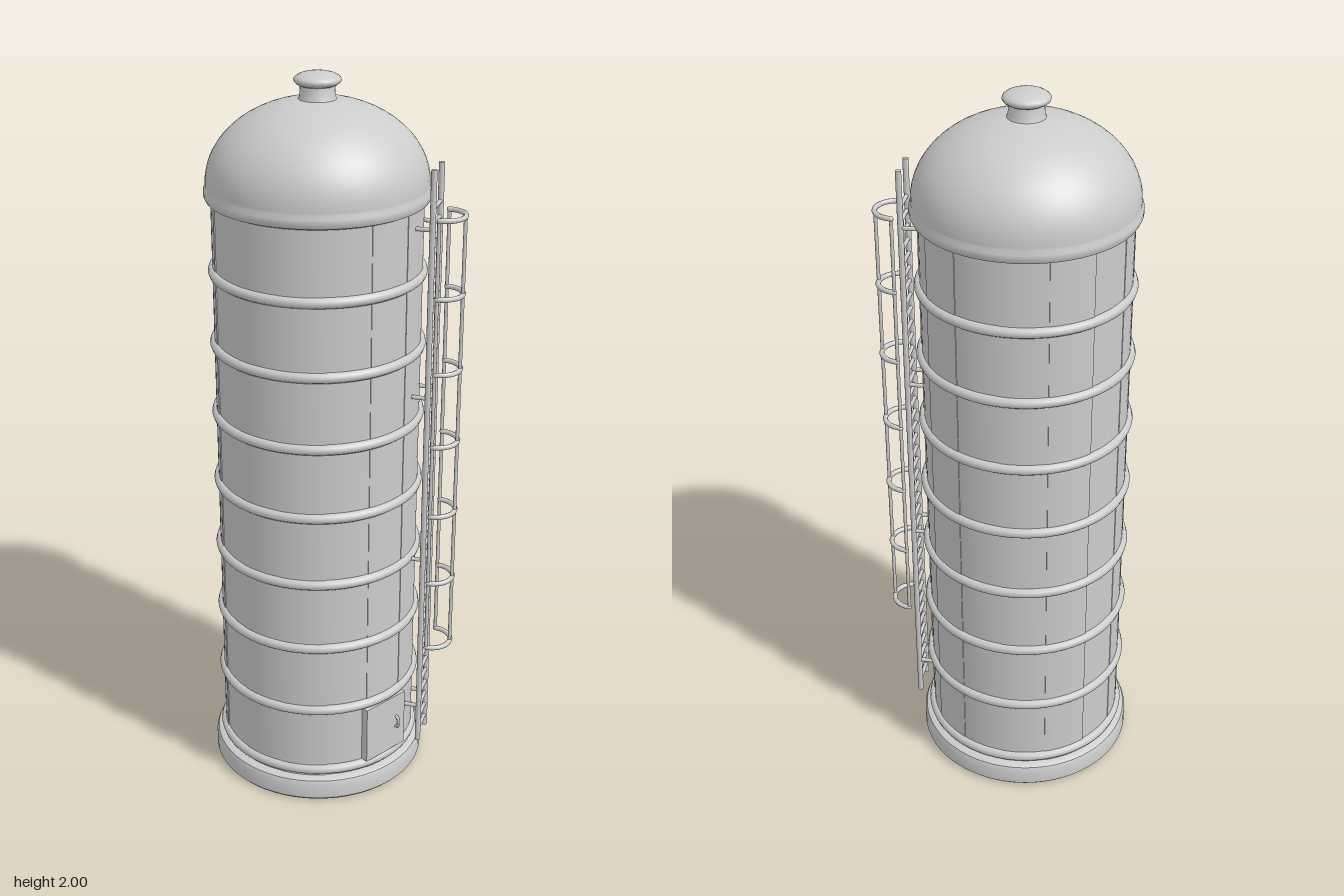
import * as THREE from 'three';
import { toCreasedNormals } from 'three/addons/utils/BufferGeometryUtils.js';

export function createModel() {
  const model = new THREE.Group();
  model.name = 'silo';
  const grey = new THREE.MeshStandardMaterial({ color: 0xcccccc });
  grey.name = 'lightGrey';

  const tower = new THREE.Group();
  tower.name = 'tower';
  tower.position.z = -0.025;
  model.add(tower);

  const add = (parent, name, geometry, x = 0, y = 0, z = 0) => {
    const mesh = new THREE.Mesh(geometry, grey);
    mesh.name = name;
    mesh.position.set(x, y, z);
    parent.add(mesh);
    return mesh;
  };
  const lathe = (points, segments = 64) => toCreasedNormals(
    new THREE.LatheGeometry(points.map(([r, y]) => new THREE.Vector2(r, y)), segments), 0.6);

  // Foundation slab
  add(tower, 'base', lathe([[0, 0], [0.296, 0], [0.303, 0.008], [0.303, 0.05], [0.298, 0.062], [0.288, 0.067], [0, 0.067]]));

  // Wall of vertical staves, each stepping slightly in or out
  const staves = 14, steps = 6, outline = [];
  for (let i = 0; i < staves; i++) {
    const radius = 0.273 + 0.0015 * (i % 3);
    for (let j = 0; j <= steps; j++) {
      const a = ((i + (j / steps) * 0.998) / staves) * Math.PI * 2;
      outline.push(new THREE.Vector2(Math.cos(a) * radius, Math.sin(a) * radius));
    }
  }
  const wall = new THREE.ExtrudeGeometry(new THREE.Shape(outline), { depth: 1.64, bevelEnabled: false });
  wall.rotateX(-Math.PI / 2);
  add(tower, 'wall', toCreasedNormals(wall, 0.4), 0, 0.06, 0);

  // Hoops around the wall
  const band = new THREE.TorusGeometry(0.273, 0.015, 10, 64).rotateX(Math.PI / 2);
  for (let i = 0; i < 8; i++) add(tower, 'band', band, 0, 0.087 + i * 0.2, 0);

  // Domed roof with a rolled rim
  const domeProfile = [[0, 1.675], [0.278, 1.675], [0.289, 1.68], [0.294, 1.69], [0.294, 1.703], [0.289, 1.713]];
  for (let i = 0; i <= 16; i++) {
    const a = (i / 16) * Math.PI / 2;
    domeProfile.push([0.289 * Math.cos(a), 1.72 + 0.215 * Math.sin(a)]);
  }
  add(tower, 'domeRoof', lathe(domeProfile));

  // Finial
  add(tower, 'finialNeck', lathe([[0.056, 1.92], [0.046, 1.937], [0.044, 1.975]], 24));
  const cap = new THREE.SphereGeometry(0.061, 16, 12).scale(1, 0.34, 1);
  add(tower, 'finialCap', cap, 0, 1.979, 0);

  // Door and handle
  add(tower, 'door', new THREE.BoxGeometry(0.148, 0.172, 0.03), 0, 0.187, 0.269);
  const handle = new THREE.TubeGeometry(new THREE.CatmullRomCurve3([
    new THREE.Vector3(0, -0.017, 0), new THREE.Vector3(0, -0.012, 0.01),
    new THREE.Vector3(0, 0.012, 0.01), new THREE.Vector3(0, 0.017, 0)]), 12, 0.0045, 8);
  add(tower, 'doorHandle', handle, 0.04, 0.187, 0.283);

  // Ladder: local z points away from the wall, local x runs along it
  const ladder = new THREE.Group();
  ladder.name = 'ladder';
  ladder.rotation.y = Math.PI / 6;
  tower.add(ladder);

  const railX = 0.04, railZ = 0.315;
  const rail = new THREE.CylinderGeometry(0.008, 0.008, 1.695, 10);
  const bracket = new THREE.CylinderGeometry(0.006, 0.006, 0.055, 8).rotateX(Math.PI / 2);
  for (const side of [-1, 1]) {
    add(ladder, 'ladderRail', rail, side * railX, 0.9375, railZ);
    for (const y of [0.205, 0.685, 1.17, 1.63]) {
      add(ladder, 'wallBracket', bracket, side * railX, y, railZ - 0.0275);
    }
  }
  const rung = new THREE.CylinderGeometry(0.0055, 0.0055, railX * 2, 8).rotateZ(Math.PI / 2);
  for (let i = 0; i < 40; i++) add(ladder, 'rung', rung, 0, 0.125 + i * 0.04, railZ);

  // Safety cage: half hoops with rounded ends, tied by upright bars
  const cageR = 0.055, cageZ = 0.335, hoopTube = 0.007;
  const hoop = new THREE.TorusGeometry(cageR, hoopTube, 8, 24, Math.PI).rotateX(Math.PI / 2);
  const hoopEnd = new THREE.SphereGeometry(hoopTube, 8, 6);
  for (let i = 0; i < 7; i++) {
    const y = 0.415 + i * 0.2075;
    add(ladder, 'cageHoop', hoop, 0, y, cageZ);
    for (const side of [-1, 1]) add(ladder, 'cageHoopEnd', hoopEnd, side * cageR, y, cageZ);
  }
  const bar = new THREE.CylinderGeometry(0.005, 0.005, 1.245, 8);
  for (const a of [0, Math.PI / 2, Math.PI]) {
    add(ladder, 'cageBar', bar, Math.cos(a) * cageR, 1.0375, cageZ + Math.sin(a) * cageR);
  }

  return model;
}
